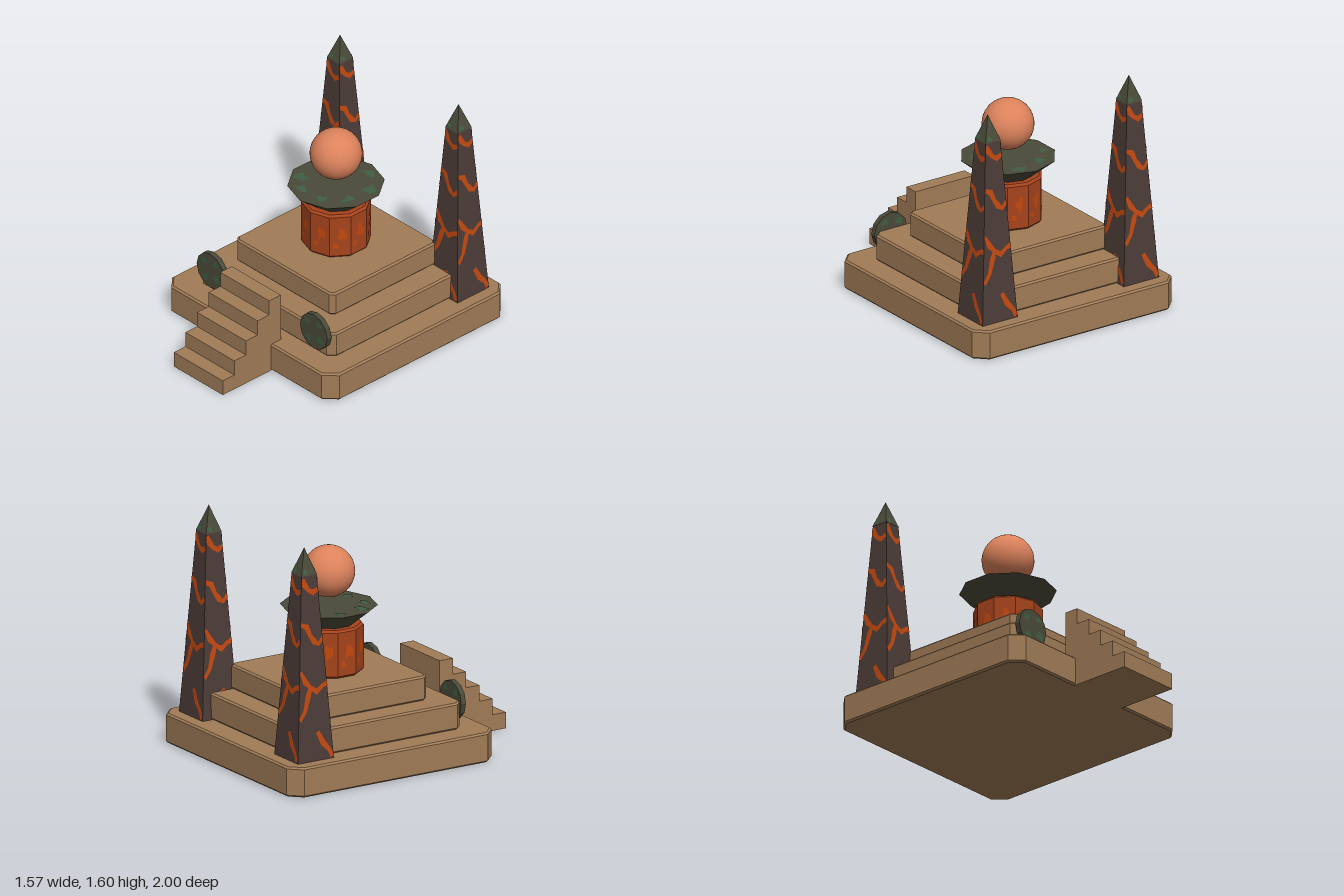
import * as THREE from 'three';

const mat = (name, color, opts = {}) => {
  const m = new THREE.MeshStandardMaterial({ color, flatShading: true, ...opts });
  m.name = name;
  return m;
};

export function createModel() {
  const sand = mat('sandstone', 0xa17c57);
  const rock = mat('dark rock', 0x4c3c37);
  const lava = mat('lava orange', 0xc4480f, { side: THREE.DoubleSide });
  const clay = mat('burnt clay', 0xa6431c);
  const bronze = mat('aged bronze', 0x4a4a3a);
  const verdigris = mat('verdigris', 0x3f5e42, { side: THREE.DoubleSide });
  const orbMat = mat('coral', 0xdd835c, { flatShading: false });

  const model = new THREE.Group();
  model.name = 'shrine';
  const CZ = -0.21; // centre of the stepped platform

  const add = (name, geo, material, x = 0, y = 0, z = 0, parent = model) => {
    const m = new THREE.Mesh(geo, material);
    m.name = name;
    m.position.set(x, y, z);
    parent.add(m);
    return m;
  };
  const shapeOf = pts => new THREE.Shape(pts.map(p => new THREE.Vector2(p[0], p[1])));

  // Irregular flat stain, used for all patina patches
  const blob = (cx, cy, rx, ry, seed) => {
    const pts = [];
    for (let i = 0; i < 9; i++) {
      const a = i / 9 * Math.PI * 2;
      const k = 0.8 + 0.3 * Math.sin(i * 2.4 + seed);
      pts.push([cx + Math.cos(a) * rx * k, cy + Math.sin(a) * ry * k]);
    }
    return new THREE.ShapeGeometry(shapeOf(pts));
  };

  // Square tier with cut corners and a slim bevel
  const tier = (name, half, y0, y1, cut) => {
    const b = 0.012, h = half - b, c = h - cut;
    const s = shapeOf([[h, -c], [h, c], [c, h], [-c, h], [-h, c], [-h, -c], [-c, -h], [c, -h]]);
    const g = new THREE.ExtrudeGeometry(s, {
      depth: y1 - y0 - 2 * b, bevelEnabled: true, bevelSize: b, bevelThickness: b, bevelSegments: 1,
    });
    g.rotateX(-Math.PI / 2);
    add(name, g, sand, 0, y0 + b, CZ);
  };
  tier('baseTier', 0.787, 0, 0.2, 0.075);
  tier('middleTier', 0.625, 0.2, 0.378, 0.04);
  tier('upperTier', 0.463, 0.378, 0.543, 0.025);

  // Staircase: one stepped side profile extruded across
  const steps = 5, rise = 0.108, run = 0.102;
  const profile = [[0.49, 0], [1, 0]];
  for (let i = 0; i < steps; i++) {
    profile.push([1 - i * run, (i + 1) * rise], [1 - (i + 1) * run, (i + 1) * rise]);
  }
  const outline = [];
  profile.forEach((p, i) => {
    // add the foot of each riser before its top
    if (i >= 4 && i % 2 === 0) outline.push([p[0], p[1] - rise]);
    outline.push(p);
  });
  const clean = outline.filter((p, i) => i === 0 ||
    Math.hypot(p[0] - outline[i - 1][0], p[1] - outline[i - 1][1]) > 1e-6);
  const stairs = new THREE.ExtrudeGeometry(shapeOf(clean), { depth: 0.46, bevelEnabled: false });
  stairs.rotateY(-Math.PI / 2);
  add('staircase', stairs, sand, 0.23, 0, 0);

  // Ten-sided drum with bevelled rims
  const drum = new THREE.LatheGeometry([[0, 0.543], [0.21, 0.543], [0.225, 0.558], [0.225, 0.85],
    [0.21, 0.865], [0, 0.865]].map(p => new THREE.Vector2(p[0], p[1])), 10);
  add('drum', drum, clay, 0, 0, CZ);
  for (let i = 0; i < 10; i++) {
    const pivot = new THREE.Group();
    pivot.name = 'drumGlow';
    pivot.position.z = CZ;
    pivot.rotation.y = (i + 0.5) * Math.PI / 5;
    model.add(pivot);
    add('glowLarge', blob(0.012, 0.72, 0.035, 0.06, i), lava, 0, 0, 0.217, pivot);
    add('glowSmall', blob(-0.03, 0.635, 0.022, 0.025, i * 2), lava, 0, 0, 0.217, pivot);
  }

  // Flared bowl with patina on its flat top
  add('bowl', new THREE.CylinderGeometry(0.315, 0.17, 0.115, 10), bronze, 0, 0.9225, CZ);
  const bowlPatches = [[-0.2, -0.12, 0.06, 0.05], [-0.1, -0.21, 0.05, 0.04], [0.08, -0.2, 0.05, 0.04],
    [0.2, -0.08, 0.04, 0.06], [0.21, 0.1, 0.05, 0.06], [0.07, 0.23, 0.06, 0.04],
    [-0.11, 0.19, 0.05, 0.05], [-0.23, 0.06, 0.035, 0.04]];
  bowlPatches.forEach((p, i) => {
    const g = blob(...p, i * 1.7);
    g.rotateX(-Math.PI / 2);
    add('bowlPatina', g, verdigris, 0, 0.983, CZ);
  });

  // Floating orb
  add('orb', new THREE.SphereGeometry(0.17, 32, 20), orbMat, 0, 1.205, CZ);

  // Round shields flanking the stairs
  const shieldPatches = [[-0.06, 0.06, 0.035, 0.03], [0.05, 0.07, 0.03, 0.025],
    [0.06, -0.04, 0.04, 0.035], [-0.045, -0.06, 0.035, 0.03]];
  for (const side of [-1, 1]) {
    const shield = new THREE.Group();
    shield.name = side > 0 ? 'leftShield' : 'rightShield';
    shield.position.set(side * 0.486, 0.36, 0.422);
    model.add(shield);
    const disc = new THREE.CylinderGeometry(0.129, 0.129, 0.036, 12);
    disc.rotateX(Math.PI / 2);
    add('disc', disc, bronze, 0, 0, 0, shield);
    shieldPatches.forEach((p, i) => {
      for (const z of [-0.021, 0.021]) add('discPatina', blob(...p, i), verdigris, 0, 0, z, shield);
    });
  }

  // Obelisks: tapered shaft, pointed cap, glowing cracks on every face
  const shaftHalf = y => 0.138 - 0.08 * (y - 0.2) / 1.225;
  const capHalf = y => 0.06 * (1.6 - y) / 0.175;
  // lay flat artwork onto a sloping face
  const drape = (geo, half) => {
    const p = geo.attributes.position;
    for (let i = 0; i < p.count; i++) {
      const h = half(p.getY(i));
      p.setXYZ(i, THREE.MathUtils.clamp(p.getX(i), -h, h), p.getY(i), h + 0.003);
    }
    geo.computeVertexNormals();
    return geo;
  };
  // jagged ribbon following a path given in hundredths
  const crack = (path, width) => {
    const a = [], b = [];
    path.forEach((p, i) => {
      const q = path[Math.max(i - 1, 0)], r = path[Math.min(i + 1, path.length - 1)];
      const dx = r[0] - q[0], dy = r[1] - q[1], l = Math.hypot(dx, dy);
      const w = width * (i % 2 ? 0.6 : 0.42);
      a.push([(p[0] - dy / l * w) / 100, (p[1] + dx / l * w) / 100]);
      b.unshift([(p[0] + dy / l * w) / 100, (p[1] - dx / l * w) / 100]);
    });
    return drape(new THREE.ShapeGeometry(shapeOf([...a, ...b])), shaftHalf);
  };
  const cracks = [
    [[-5.5, 141], [-4, 137], [-1, 133], [2.5, 131], [6, 133]],
    [[-8, 111], [-3.5, 109], [-1, 103], [2, 98.5], [5, 96.5], [9, 100]],
    [[-10, 80], [-6, 73], [-2.5, 69], [-4, 64], [-7, 54], [-12, 48]],
    [[-2.5, 69], [2.5, 65.5], [7, 69], [11, 70]],
    [[2, 39], [6, 31], [10.5, 26], [13, 21.5]],
  ];
  const squareFrustum = (top, bottom, height) => {
    const g = new THREE.CylinderGeometry(top * Math.SQRT2, bottom * Math.SQRT2, height, 4);
    g.rotateY(Math.PI / 4);
    return g;
  };
  for (const side of [-1, 1]) {
    const obelisk = new THREE.Group();
    obelisk.name = side > 0 ? 'leftObelisk' : 'rightObelisk';
    obelisk.position.set(side * 0.557, 0, -0.766);
    model.add(obelisk);
    add('shaft', squareFrustum(0.058, 0.138, 1.225), rock, 0, 0.8125, 0, obelisk);
    add('cap', squareFrustum(0, 0.06, 0.175), bronze, 0, 1.5125, 0, obelisk);
    for (let f = 0; f < 4; f++) {
      const face = new THREE.Group();
      face.name = 'faceCracks';
      face.rotation.y = f * Math.PI / 2;
      obelisk.add(face);
      cracks.forEach(c => add('crack', crack(c, 3.4), lava, 0, 0, 0, face));
      add('capPatina', drape(blob(-0.028, 1.452, 0.024, 0.02, f), capHalf), verdigris, 0, 0, 0, face);
    }
  }
  return model;
}
